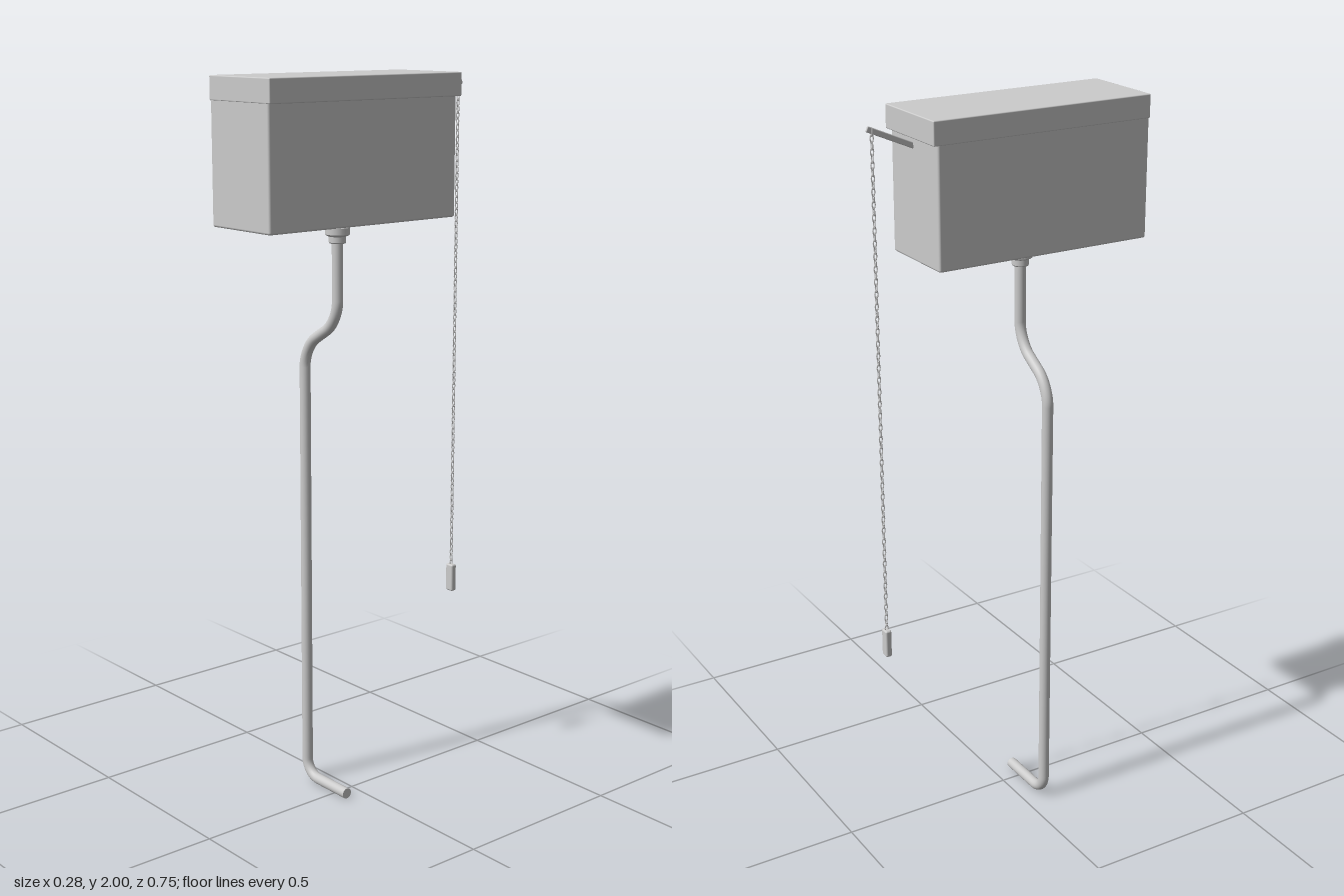
import * as THREE from 'three';
import { RoundedBoxGeometry } from 'three/addons/geometries/RoundedBoxGeometry.js';

const material = new THREE.MeshStandardMaterial({ color: 0xcccccc });

function add(parent, name, geometry, x = 0, y = 0, z = 0) {
  const mesh = new THREE.Mesh(geometry, material);
  mesh.name = name;
  mesh.position.set(x, y, z);
  parent.add(mesh);
  return mesh;
}

// Straight runs joined by rounded bends; each corner is [x, y, bend length].
function bentPath(start, corners, end) {
  const path = new THREE.CurvePath();
  const v = ([x, y]) => new THREE.Vector3(x, y, 0);
  let from = v(start);
  corners.forEach((corner, i) => {
    const c = v(corner);
    const next = v(corners[i + 1] ?? end);
    const a = c.clone().add(from.clone().sub(c).setLength(corner[2]));
    const b = c.clone().add(next.clone().sub(c).setLength(corner[2]));
    const k = 0.55; // near-circular bend handle
    path.add(new THREE.LineCurve3(from, a));
    path.add(new THREE.CubicBezierCurve3(a, a.clone().lerp(c, k), b.clone().lerp(c, k), b));
    from = b;
  });
  path.add(new THREE.LineCurve3(from, v(end)));
  return path;
}

export function createModel() {
  const model = new THREE.Group();
  model.name = 'highLevelCistern';

  // Tank and its lid, which overhangs slightly on the left and back
  add(model, 'tank', new RoundedBoxGeometry(0.238, 0.328, 0.622, 2, 0.006), 0.013, 1.786, 0.063);
  add(model, 'lid', new RoundedBoxGeometry(0.247, 0.062, 0.635, 2, 0.003), 0.0155, 1.969, 0.0575);

  // Flush pipe
  const pipeX = 0.013, pipeZ = 0.06, r = 0.015;
  const path = bentPath(
    [pipeX, 1.6],
    [[pipeX, 1.357, 0.055], [-0.126, 1.272, 0.055], [-0.126, 0.016, 0.05]],
    [0.05, 0.016]
  );
  add(model, 'flushPipe', new THREE.TubeGeometry(path, 240, r, 20), 0, 0, pipeZ);
  add(model, 'pipeEnd', new THREE.CircleGeometry(r, 20), 0.05, 0.016, pipeZ).rotation.y = Math.PI / 2;

  // Stepped coupling nut with a short stub up into the tank
  const profile = [
    [0, 1.566], [0.021, 1.566], [0.023, 1.569], [0.023, 1.584], [0.03, 1.587],
    [0.033, 1.59], [0.033, 1.607], [0.031, 1.61], [0.01, 1.61], [0.01, 1.63]
  ];
  // Each profile edge is turned on its own so the steps stay crisp
  const coupling = new THREE.Group();
  coupling.name = 'coupling';
  model.add(coupling);
  for (let i = 0; i < profile.length - 1; i++) {
    const edge = [profile[i], profile[i + 1]].map(([x, y]) => new THREE.Vector2(x, y));
    add(coupling, 'couplingRing', new THREE.LatheGeometry(edge, 24), pipeX, 0, pipeZ);
  }

  // Lever rising outwards from the back of the tank
  const pullX = 0.02, pullZ = -0.36;
  const lever = add(model, 'lever', new RoundedBoxGeometry(0.006, 0.015, 0.16, 2, 0.0025), pullX, 1.939, -0.3);
  lever.rotation.x = Math.atan2(0.054, 0.125);

  // Chain of alternating oval links
  const chain = new THREE.Group();
  chain.name = 'chain';
  model.add(chain);
  const link = new THREE.TorusGeometry(0.0045, 0.0016, 5, 10).scale(1, 2.1, 1);
  const top = 1.962, bottom = 0.604, count = 84;
  for (let i = 0; i < count; i++) {
    const y = top + (bottom - top) * i / (count - 1);
    add(chain, 'chainLink', link, pullX, y, pullZ).rotation.y = (i % 2) * Math.PI / 2;
  }

  // Pull handle
  add(model, 'pullHandle', new RoundedBoxGeometry(0.027, 0.08, 0.018, 3, 0.005), pullX, 0.56, pullZ);

  return model;
}
